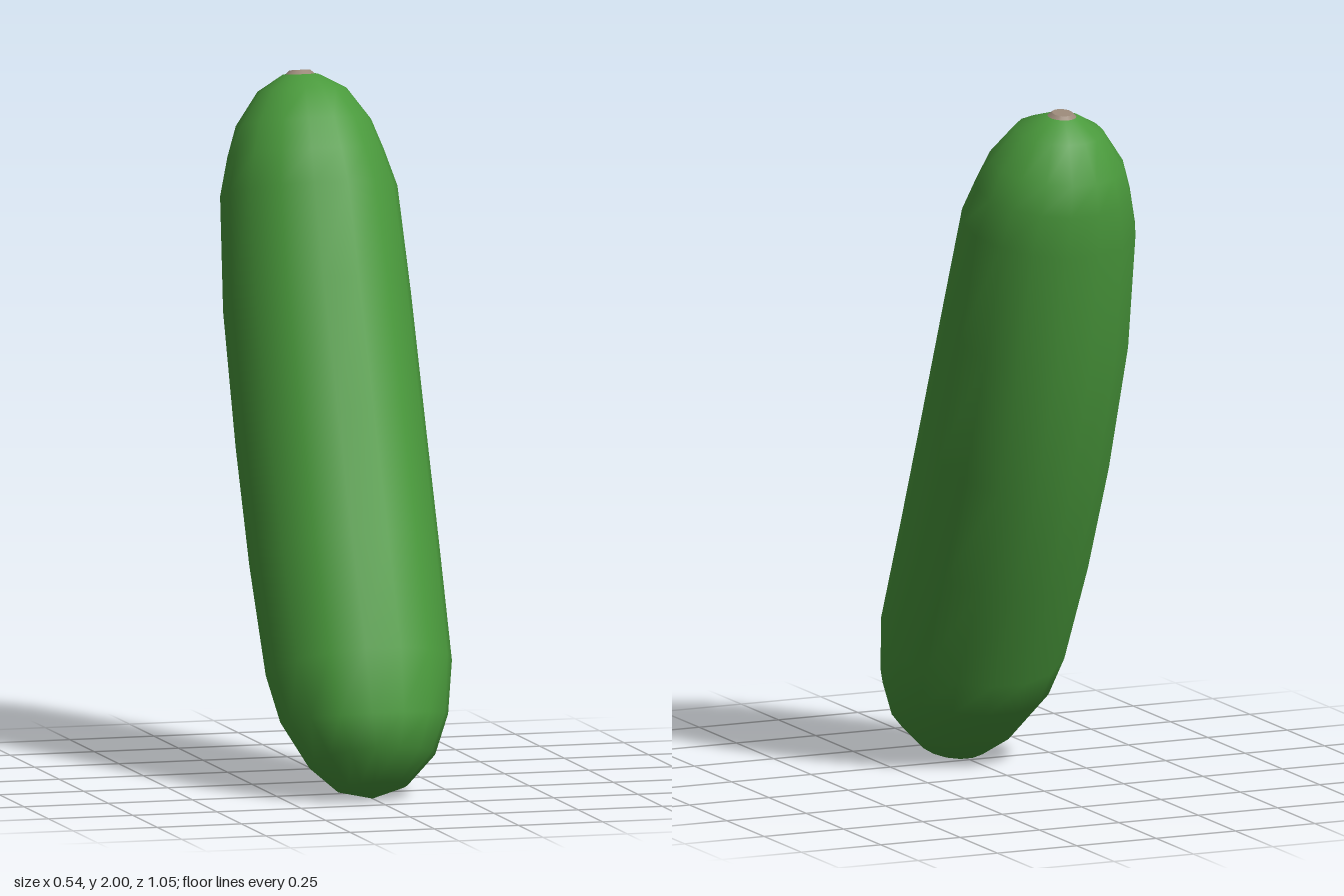
import * as THREE from 'three';

const SIDES = 16;

// Stations along the body: front edge z, y; back edge z, y; half width in x
const STATIONS = [
  [0.37, 0.0, 0.37, 0.0, 0],
  [0.46, 0.06, 0.27, 0.0, 0.1],
  [0.53, 0.17, 0.18, 0.05, 0.18],
  [0.53, 0.27, 0.04, 0.17, 0.235],
  [0.48, 0.45, -0.02, 0.265, 0.262],
  [0.34, 0.76, -0.17, 0.55, 0.268],
  [0.2, 1.1, -0.31, 0.86, 0.268],
  [0.05, 1.46, -0.44, 1.24, 0.265],
  [-0.05, 1.72, -0.51, 1.6, 0.25],
  [-0.1, 1.81, -0.525, 1.72, 0.22],
  [-0.15, 1.89, -0.52, 1.81, 0.19],
  [-0.23, 1.965, -0.47, 1.92, 0.125],
  [-0.32, 1.99, -0.41, 1.98, 0.05],
  [-0.365, 1.99, -0.365, 1.99, 0],
];

// Skin the tilted elliptical rings into one smooth closed surface
function bodyGeometry() {
  const positions = [];
  const index = [];
  const fit = 1 / Math.cos(Math.PI / SIDES);
  for (const [fz, fy, bz, by, w] of STATIONS) {
    for (let i = 0; i < SIDES; i++) {
      const a = ((i + 0.5) / SIDES) * Math.PI * 2;
      const c = (Math.cos(a) * fit) / 2;
      positions.push(
        Math.sin(a) * w * fit,
        (fy + by) / 2 + c * (fy - by),
        (fz + bz) / 2 + c * (fz - bz),
      );
    }
  }
  const last = STATIONS.length - 2;
  for (let r = 0; r <= last; r++) {
    for (let i = 0; i < SIDES; i++) {
      const j = (i + 1) % SIDES;
      const a = r * SIDES + i, b = r * SIDES + j;
      // The end stations are single points, so each takes one triangle per side
      if (r > 0) index.push(a, b, b + SIDES);
      if (r < last) index.push(a, b + SIDES, a + SIDES);
      else continue;
      if (r === 0) continue;
    }
  }
  const geometry = new THREE.BufferGeometry();
  geometry.setAttribute('position', new THREE.Float32BufferAttribute(positions, 3));
  geometry.setIndex(index);
  geometry.computeVertexNormals();
  return geometry;
}

export function createModel() {
  const model = new THREE.Group();
  model.name = 'cucumber';

  const green = new THREE.MeshStandardMaterial({ color: 0x4a9a3c });
  const brown = new THREE.MeshStandardMaterial({ color: 0x9a8878 });

  const body = new THREE.Mesh(bodyGeometry(), green);
  body.name = 'body';
  model.add(body);

  // Short tapered stub where the stem was cut
  const stem = new THREE.Mesh(new THREE.CylinderGeometry(0.03, 0.056, 0.024, SIDES), brown);
  stem.name = 'stemStub';
  stem.position.set(0, 1.984, -0.37);
  stem.rotation.x = -0.17;
  model.add(stem);

  return model;
}
